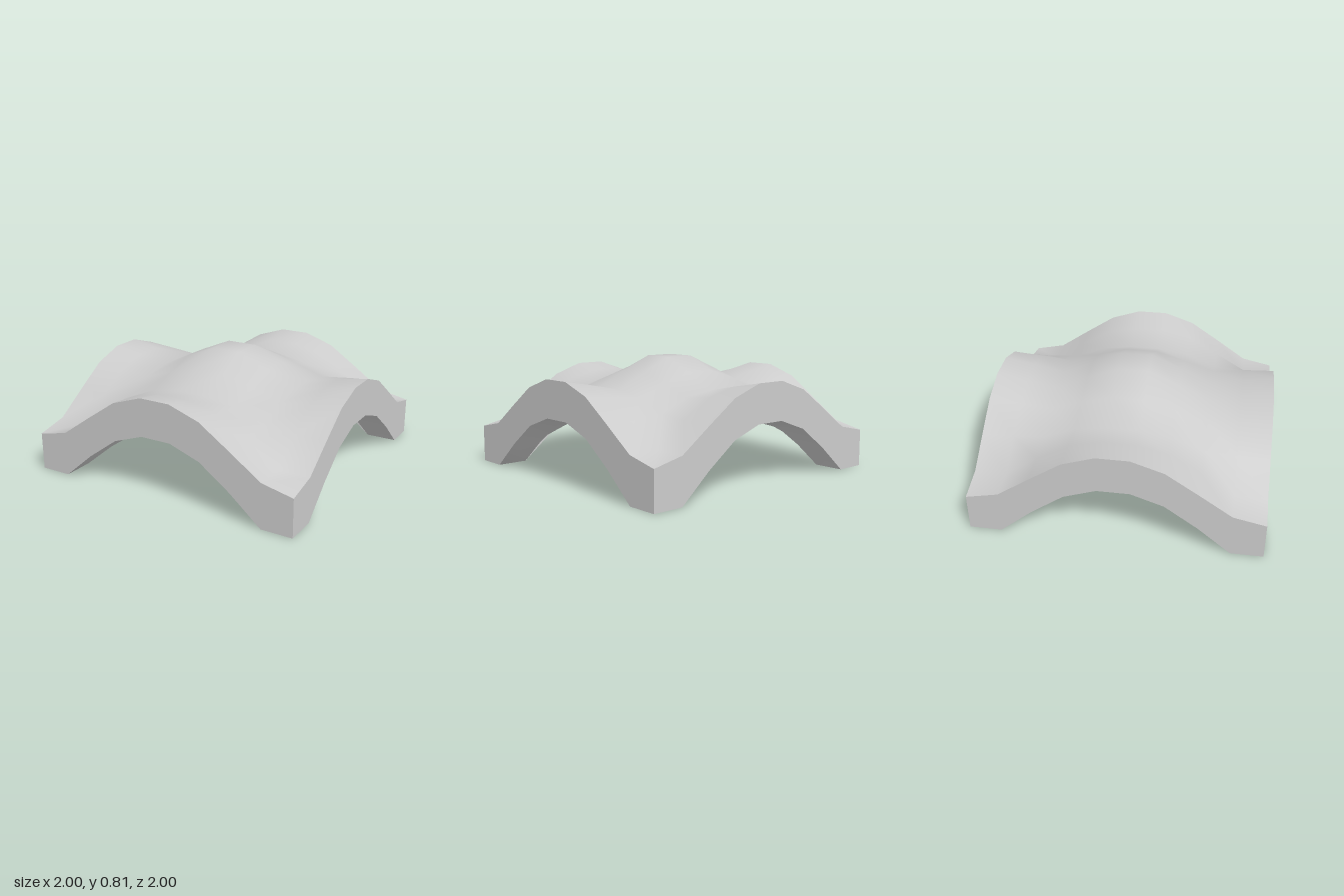
import * as THREE from 'three';

// Heights over one quadrant, from the middle (index 0) to the edge (index 4)
const TOP = [
  [0.81, 0.715, 0.61, 0.655, 0.695],
  [0.715, 0.65, 0.577, 0.602, 0.62],
  [0.61, 0.577, 0.49, 0.473, 0.47],
  [0.655, 0.602, 0.473, 0.315, 0.315],
  [0.695, 0.62, 0.47, 0.315, 0.267],
];
const CELL = 2 / 9;
const INNER = 1 - CELL;
const SHELL = 0.21; // thickness inside the rim

// Rows of the rim, from its upper outer edge, under it, up to the recess
const ROWS = [
  { z: 1, heights: TOP[4] },
  { z: 1, heights: [0.428, 0.35, 0.19, 0, 0] },
  { z: INNER, heights: [0.393, 0.33, 0.18, 0, 0] },
  { z: INNER, heights: TOP[3].map((y) => y - SHELL) },
];

// Mirror the quadrant in x and z
const index = (v) => Math.round(Math.abs(v) / CELL - 0.5);

// Smooth sheet following the top heights, facing up (1) or down (-1)
function sheet(segments, facing, drop) {
  const size = segments * CELL;
  const geometry = new THREE.PlaneGeometry(size, size, segments, segments);
  geometry.rotateX(-facing * Math.PI / 2);
  const p = geometry.attributes.position;
  for (let i = 0; i < p.count; i++) {
    p.setY(i, TOP[index(p.getX(i))][index(p.getZ(i))] - drop);
  }
  geometry.computeVertexNormals();
  return geometry;
}

// Strip along x joining two rows of the rim
function strip(segments, startX, upper, lower) {
  const width = segments * CELL;
  const geometry = new THREE.PlaneGeometry(width, 2, segments, 1);
  geometry.translate(startX + width / 2, 0, 0);
  const p = geometry.attributes.position;
  for (let i = 0; i < p.count; i++) {
    const row = p.getY(i) > 0 ? upper : lower;
    p.setY(i, row.heights[index(p.getX(i))]);
    p.setZ(i, row.z);
  }
  geometry.computeVertexNormals();
  return geometry;
}

export function createModel() {
  const group = new THREE.Group();
  group.name = 'vaultedCanopy';
  const material = new THREE.MeshStandardMaterial({ color: 0xcccccc });
  const add = (name, geometry, parent = group) => {
    const mesh = new THREE.Mesh(geometry, material);
    mesh.name = name;
    parent.add(mesh);
  };

  add('upperSurface', sheet(9, 1, 0));
  add('recessedUnderside', sheet(7, -1, SHELL));

  // Four identical rim sides; each underside stops where the next one begins
  const outerWall = strip(9, -1, ROWS[0], ROWS[1]);
  const rimUnderside = strip(8, -1, ROWS[1], ROWS[2]);
  const innerWall = strip(7, -INNER, ROWS[2], ROWS[3]);
  ['frontRim', 'leftRim', 'backRim', 'rightRim'].forEach((name, i) => {
    const side = new THREE.Group();
    side.name = name;
    side.rotation.y = i * Math.PI / 2;
    add('outerWall', outerWall, side);
    add('rimUnderside', rimUnderside, side);
    add('innerWall', innerWall, side);
    group.add(side);
  });
  return group;
}
